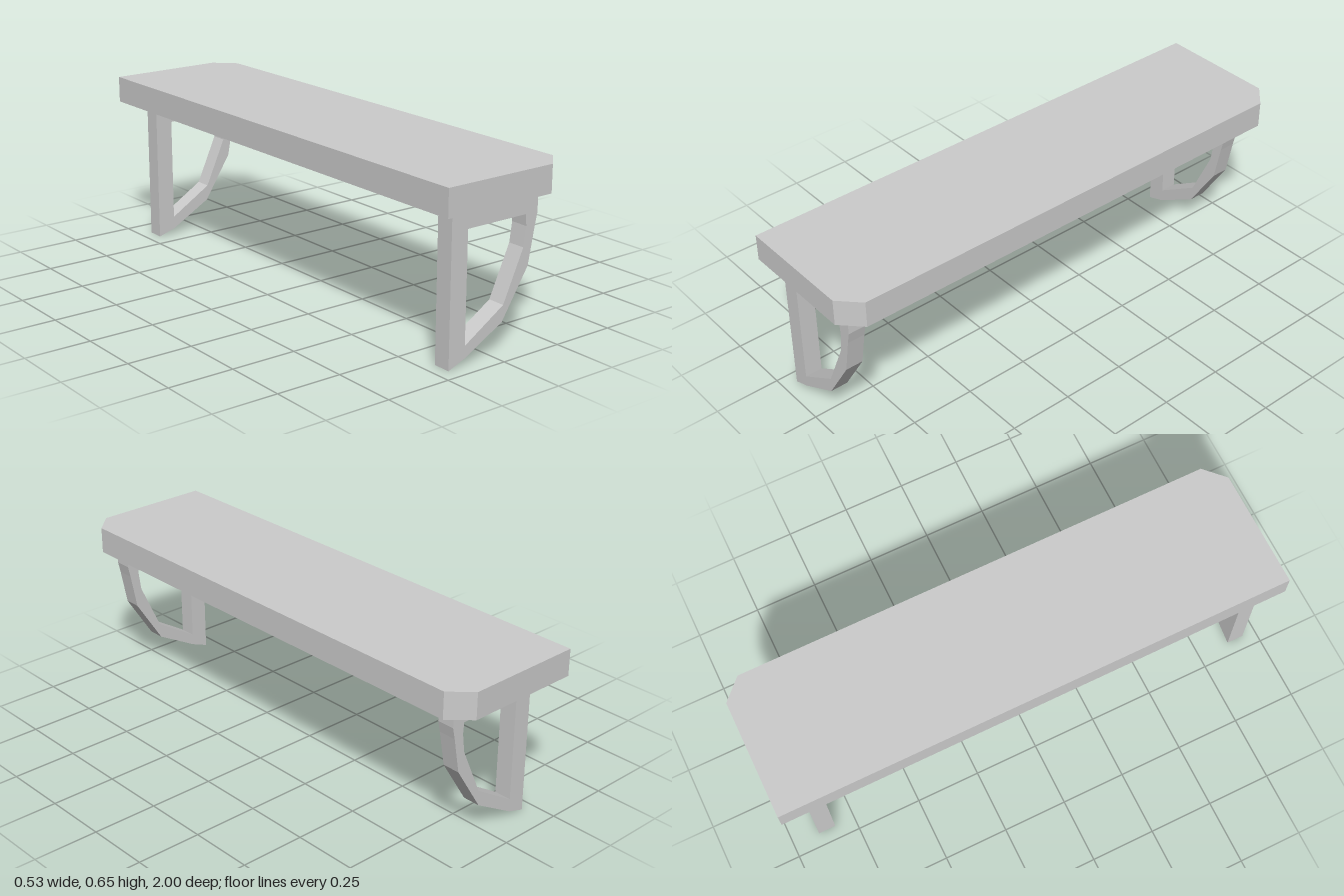
import * as THREE from 'three';

const material = new THREE.MeshStandardMaterial({ color: 0xcccccc, flatShading: true });

const vectors = (points) => points.map(([x, y]) => new THREE.Vector2(x, y));

function extrude(name, shape, depth) {
  const geometry = new THREE.ExtrudeGeometry(shape, { depth, bevelEnabled: false });
  const mesh = new THREE.Mesh(geometry, material);
  mesh.name = name;
  return mesh;
}

// Shelf board with two clipped corners on its outer edge, drawn in plan
function createBoard() {
  const plan = new THREE.Shape(vectors([
    [-0.267, -1], [0.19, -1], [0.267, -0.925], [0.267, 0.925], [0.19, 1], [-0.267, 1],
  ]));
  const board = extrude('shelfBoard', plan, 0.102);
  board.geometry.rotateX(-Math.PI / 2);
  board.position.y = 0.55;
  return board;
}

// Open bracket: upright wall post, top rail and a faceted curved brace
function createBracket(name, z, kinkY) {
  const outline = new THREE.Shape(vectors([
    [-0.2, 0], [-0.13, kinkY], [0.035, 0.117], [0.147, 0.293],
    [0.173, 0.43], [0.183, 0.475], [0.183, 0.55], [-0.2, 0.55],
  ]));
  outline.holes.push(new THREE.Path(vectors([
    [-0.13, 0.072], [-0.13, 0.477], [0.13, 0.477], [0.133, 0.435],
    [0.123, 0.362], [0.039, 0.177],
  ])));
  const bracket = extrude(name, outline, 0.067);
  bracket.position.z = z;
  return bracket;
}

export function createModel() {
  const group = new THREE.Group();
  group.name = 'wallShelf';
  group.add(
    createBoard(),
    createBracket('frontBracket', 0.879, 0.027),
    createBracket('backBracket', -0.896, 0.022),
  );
  return group;
}
